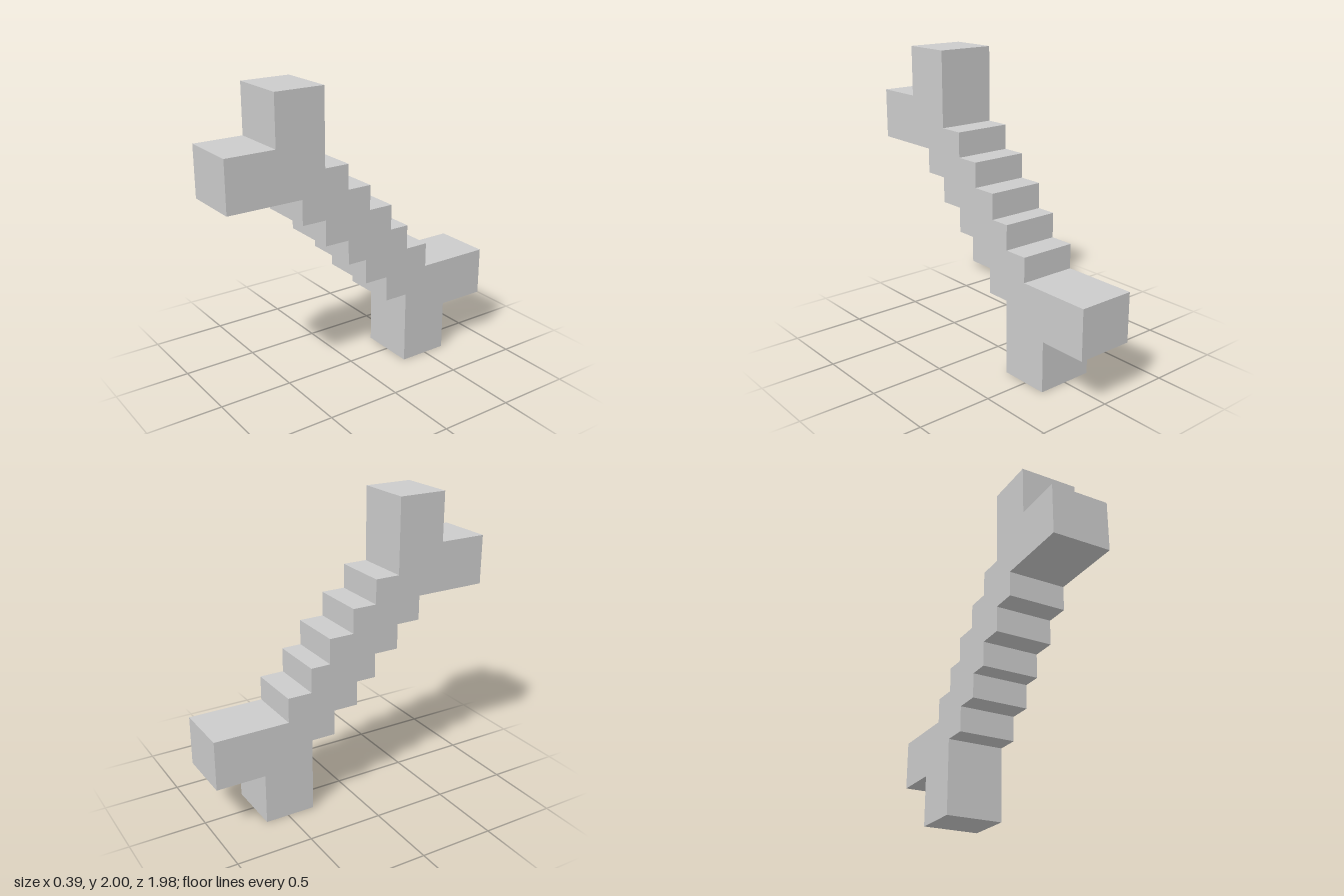
import * as THREE from 'three';

const WIDTH = 0.39;

// Corner coordinates walked as a staircase: each pair is the next (z, y) corner
const upperEdge = [
  [0.99, 1.335], [0.99, 1.67], [0.66, 1.67], [0.66, 2], [0.325, 2], // upper knobs
  [0.325, 1.5], [0.155, 1.5], [0.155, 1.335], [-0.01, 1.335], [-0.01, 1.17],
  [-0.18, 1.17], [-0.18, 1], [-0.315, 1], [-0.315, 0.835], [-0.48, 0.835], [-0.48, 0.67],
];
const lowerEdge = [
  [-0.985, 0.67], [-0.985, 0.34], [-0.655, 0.34], [-0.655, 0], [-0.315, 0], // lower knobs
  [-0.315, 0.5], [-0.15, 0.5], [-0.15, 0.67], [0.02, 0.67], [0.02, 0.835],
  [0.155, 0.835], [0.155, 1], [0.325, 1], [0.325, 1.17], [0.49, 1.17], [0.49, 1.335],
];

export function createModel() {
  const group = new THREE.Group();
  group.name = 'blockBone';

  // Stepped side profile extruded across the width
  const profile = new THREE.Shape([...upperEdge, ...lowerEdge].map(([z, y]) => new THREE.Vector2(z, y)));
  const geometry = new THREE.ExtrudeGeometry(profile, { depth: WIDTH, bevelEnabled: false });
  geometry.translate(0, 0, -WIDTH / 2);
  geometry.rotateY(-Math.PI / 2); // profile x becomes model z

  const bone = new THREE.Mesh(geometry, new THREE.MeshStandardMaterial({ color: 0xcccccc, flatShading: true }));
  bone.name = 'steppedBone';
  group.add(bone);
  return group;
}
